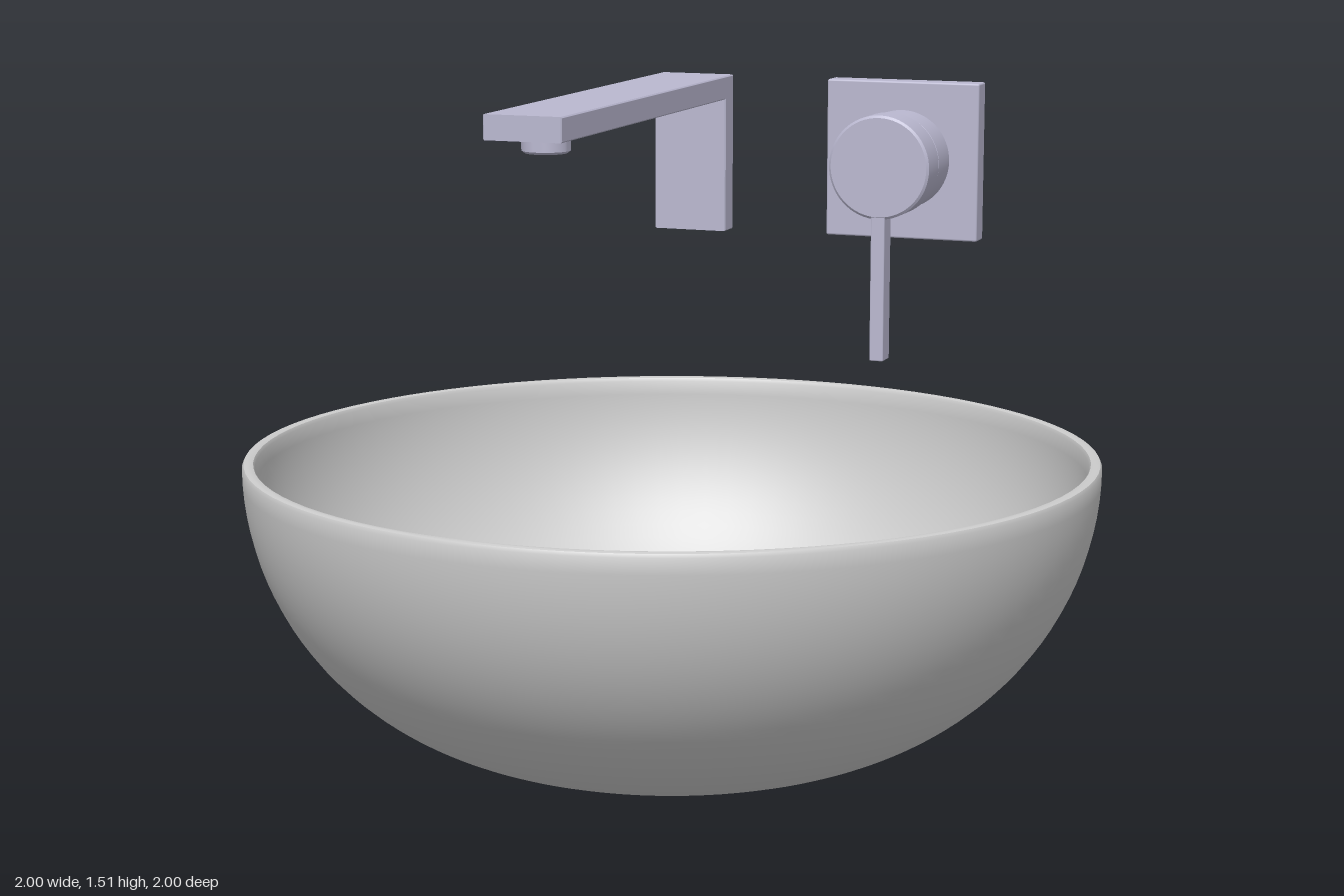
import * as THREE from 'three';
import { toCreasedNormals } from 'three/addons/utils/BufferGeometryUtils.js';
import { RoundedBoxGeometry } from 'three/addons/geometries/RoundedBoxGeometry.js';

const ceramic = new THREE.MeshStandardMaterial({ color: 0xcccccc });
const metal = new THREE.MeshStandardMaterial({ color: 0xbab8d0 });

function add(parent, name, geometry, material, x = 0, y = 0, z = 0) {
  const mesh = new THREE.Mesh(geometry, material);
  mesh.name = name;
  mesh.position.set(x, y, z);
  parent.add(mesh);
  return mesh;
}

// Lathe from [radius, height] pairs, with sharp edges kept
function lathe(points, segments) {
  const profile = points.map(([r, y]) => new THREE.Vector2(r, y));
  return toCreasedNormals(new THREE.LatheGeometry(profile, segments), 0.5);
}

// Box given by its two extreme corners, with slightly softened edges
function block(parent, name, min, max, bevel = 0.005) {
  const size = max.map((v, i) => v - min[i]);
  const centre = max.map((v, i) => (v + min[i]) / 2);
  return add(parent, name, new RoundedBoxGeometry(...size, 2, bevel), metal, ...centre);
}

// Quarter ellipse in profile, rising from the floor radius to the rim
function wall(floorR, floorY, rimR, rimY, centreR, bottomY, steps) {
  const a0 = Math.acos((floorR - centreR) / (rimR - centreR));
  const points = [[floorR, floorY]];
  for (let i = 1; i <= steps; i++) {
    const a = a0 * (1 - i / steps);
    points.push([
      centreR + (rimR - centreR) * Math.cos(a),
      rimY - (rimY - bottomY) * Math.sin(a),
    ]);
  }
  return points;
}

function createBasin() {
  const hole = 0.104;
  const outer = wall(0.36, 0.014, 0.998, 0.71, 0.28, 0.01, 28);
  const inner = wall(0.36, 0.04, 0.968, 0.71, 0.28, 0.038, 28).reverse();
  return lathe([
    [hole, 0], [0.355, 0], ...outer,
    [0.994, 0.718], [0.987, 0.72], [0.979, 0.72], [0.972, 0.718],
    ...inner, [hole, 0.04], [hole, 0],
  ], 96);
}

export function createModel() {
  const model = new THREE.Group();
  model.name = 'washbasinSet';

  // Round bowl with foot ring and open drain
  add(model, 'basin', createBasin(), ceramic);

  // L-shaped wall spout, side profile extruded across its width
  const spout = new THREE.Group();
  spout.name = 'spout';
  model.add(spout);
  const side = new THREE.Shape([
    [-1, 1.11], [-0.94, 1.11], [-0.94, 1.453], [0.16, 1.453], [0.16, 1.513], [-1, 1.513],
  ].map(([z, y]) => new THREE.Vector2(-z, y)));
  const bevel = 0.003;
  const arm = new THREE.ExtrudeGeometry(side, {
    depth: 0.196 - 2 * bevel, bevelThickness: bevel, bevelSize: bevel,
    bevelOffset: -bevel, bevelSegments: 1,
  });
  arm.rotateY(Math.PI / 2);
  add(spout, 'spoutArm', arm, metal, -0.403 + bevel);

  // Water outlet under the spout tip
  add(spout, 'outlet', lathe([
    [0, -0.04], [0.05, -0.04], [0.058, -0.034], [0.058, 0.01],
  ], 40), metal, -0.306, 1.453, 0.017);

  // Wall mixer: plate, two-part knob with a groove, and lever
  const mixer = new THREE.Group();
  mixer.name = 'mixer';
  model.add(mixer);
  block(mixer, 'wallPlate', [0.069, 1.115, -1], [0.469, 1.515, -0.94]);
  const knob = add(mixer, 'knob', lathe([
    [0.125, 0], [0.125, 0.093], [0.12, 0.098], [0.113, 0.098], [0.113, 0.108],
    [0.125, 0.108], [0.13, 0.113], [0.13, 0.198], [0.124, 0.203], [0, 0.203],
  ], 64), metal, 0.269, 1.318, -0.94);
  knob.rotation.x = Math.PI / 2;
  block(mixer, 'lever', [0.251, 0.83, -0.793], [0.287, 1.23, -0.738], 0.003);

  return model;
}
